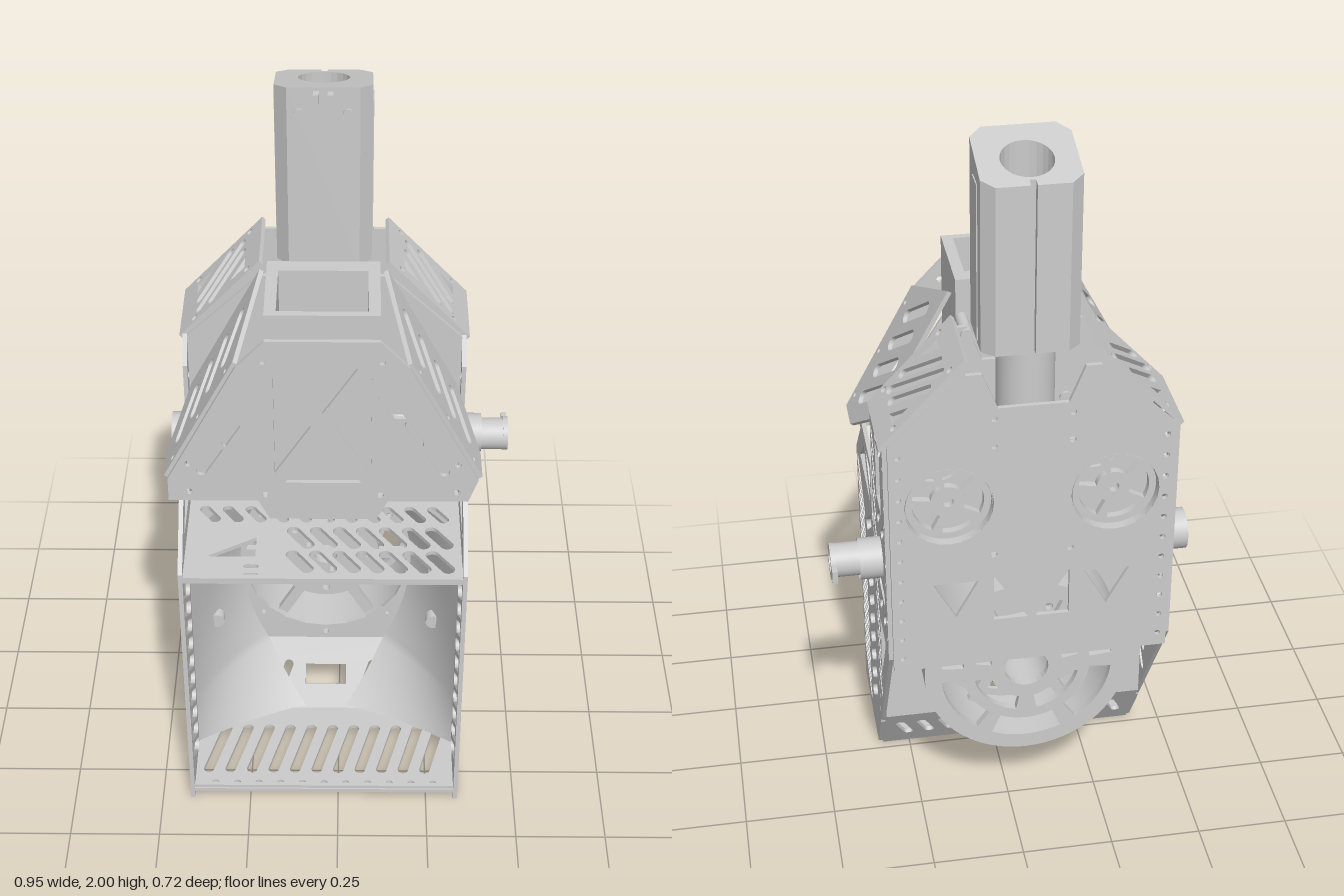
import * as THREE from 'three';
import { ParametricGeometry } from 'three/addons/geometries/ParametricGeometry.js';

const CX = -0.04; // symmetry plane of the body
const HALF = 0.374; // half width of the body
const T = 0.012; // sheet thickness
const V = (x, y, z) => new THREE.Vector3(x, y, z);
const X = V(1, 0, 0), Y = V(0, 1, 0), Z = V(0, 0, 1), BACK = V(0, 0, -1);
const material = new THREE.MeshStandardMaterial({ color: 0xcccccc, side: THREE.DoubleSide });

// Cut-outs
const poly = pts => new THREE.Path(pts.map(p => new THREE.Vector2(p[0], p[1])));
const rect = (x0, y0, x1, y1) => [[x0, y0], [x1, y0], [x1, y1], [x0, y1]];
const circle = (x, y, r) => new THREE.Path().absarc(x, y, r, 0, Math.PI * 2, false);
function slot(x, y, length, degrees, r) {
  const a = THREE.MathUtils.degToRad(degrees), d = length / 2 - r, q = Math.PI / 2;
  const dx = Math.cos(a) * d, dy = Math.sin(a) * d;
  return new THREE.Path().absarc(x + dx, y + dy, r, a - q, a + q, false)
    .absarc(x - dx, y - dy, r, a + q, a + 3 * q, false);
}
function arcs(x, y, r1, r2, n, gap) {
  return Array.from({ length: n }, (_, i) => {
    const a = (i / n) * Math.PI * 2 + gap / 2, b = ((i + 1) / n) * Math.PI * 2 - gap / 2;
    return new THREE.Path().absarc(x, y, r2, a, b, false).absarc(x, y, r1, b, a, true);
  });
}
const boltRing = (x, y, r, n, hole) => Array.from({ length: n }, (_, i) =>
  circle(x + r * Math.cos(i * 2 * Math.PI / n), y + r * Math.sin(i * 2 * Math.PI / n), hole));

export function createModel() {
  const model = new THREE.Group();
  function add(name, geometry) {
    const mesh = new THREE.Mesh(geometry, material);
    mesh.name = name;
    model.add(mesh);
    return mesh;
  }
  // Cut sheet lying in the plane through origin spanned by u and v
  function panel(name, outline, holes, origin, u, v, thickness = T) {
    const shape = Array.isArray(outline)
      ? new THREE.Shape(outline.map(p => new THREE.Vector2(p[0], p[1])))
      : new THREE.Shape(outline.getPoints(32));
    shape.holes = holes;
    const geometry = new THREE.ExtrudeGeometry(shape, { depth: thickness, bevelEnabled: false, curveSegments: 12 });
    geometry.translate(0, 0, -thickness / 2);
    const n = u.clone().cross(v);
    geometry.applyMatrix4(new THREE.Matrix4().makeBasis(u, v, n).setPosition(origin));
    return add(name, geometry);
  }
  function tube(name, r, length, position, axis, open = false) {
    const mesh = add(name, new THREE.CylinderGeometry(r, r, length, 40, 1, open));
    mesh.position.copy(position);
    mesh.quaternion.setFromUnitVectors(Y, axis);
    return mesh;
  }

  // Side walls
  const chevrons = [];
  for (let i = 0; i < 11; i++) {
    const y = 0.1 + i * 0.066;
    chevrons.push(slot(0.26, y, 0.2, 38, 0.019));
    if (i > 0) chevrons.push(slot(0.065, y, 0.17, 142, 0.016));
  }
  const sideOutline = [[0.36, 0], [0.03, 0], [-0.065, 0.15], [-0.065, 0.83], [-0.035, 0.86],
    [-0.035, 1.02], [0.21, 1.02], [0.21, 0.98], [0.36, 0.83]];
  const truss = [poly([[0.25, 0.87], [0.0, 0.87], [0.13, 0.975]]), poly([[-0.015, 0.9], [-0.015, 0.99], [0.08, 0.99]])];
  const rearOutline = [[-0.07, 0.16], [-0.35, 0.6], [-0.35, 1.27], [-0.12, 1.27], [-0.07, 1.2]];
  const rearSlots = [];
  for (let i = 0; i < 13; i++) rearSlots.push(slot(-0.115, 0.34 + i * 0.067, 0.085, 45, 0.013));
  for (const y of [0.69, 0.97, 1.22]) rearSlots.push(slot(-0.21, y, 0.09, 135, 0.012), slot(-0.29, y, 0.09, 135, 0.012));
  rearSlots.push(poly(rect(-0.275, 1.015, -0.18, 1.185)), slot(-0.24, 0.755, 0.12, 0, 0.02),
    poly([[-0.16, 0.41], [-0.16, 0.6], [-0.27, 0.6], [-0.27, 0.58]]), circle(-0.235, 0.86, 0.035));
  for (let i = 0; i < 10; i++) rearSlots.push(circle(-0.338, 0.66 + i * 0.06, 0.006));
  for (const s of [-1, 1]) {
    const at = V(CX + s * HALF, 0, 0);
    panel('frontSideWall', sideOutline, [...chevrons, ...truss], at, Z, Y);
    panel('rearSideWall', rearOutline, rearSlots, at, Z, Y);
  }

  // Floor, sloped rear floor and top deck
  const w = HALF - T / 2;
  const floorSlots = [], slopeSlots = [], deckSlots = [];
  for (let i = 0; i < 11; i++) {
    const x = -0.31 + i * 0.062;
    floorSlots.push(slot(x, -0.2, 0.2, 75, 0.015), circle(x, -0.335, 0.01));
    if (Math.abs(x) > 0.1) slopeSlots.push(slot(x, 0.12, 0.11, 70, 0.013));
    if (i > 3) for (const z of [-0.29, -0.19]) deckSlots.push(slot(x, z, 0.105, 125, 0.018));
    deckSlots.push(slot(x, -0.09, 0.08, 125, 0.015));
  }
  deckSlots.push(poly([[-0.31, -0.27], [-0.18, -0.27], [-0.18, -0.19]]));
  for (const z of [-0.31, -0.345]) deckSlots.push(slot(-0.19, z, 0.04, 0, 0.008));
  slopeSlots.push(poly(rect(-0.06, 0.1, 0.06, 0.16)));
  panel('floor', rect(-w, -0.36, w, -0.03), floorSlots, V(CX, 0.03, 0), X, BACK);
  panel('slopedFloor', rect(-w, 0, w, 0.245), slopeSlots, V(CX, 0, 0.03), X, V(0, 0.6, -0.38).normalize());
  panel('deck', rect(-w, -0.36, w, 0.05), deckSlots, V(CX, 0.815, 0), X, BACK);
  const band = [-1, 1].flatMap(s => [slot(s * 0.22, 0.93, 0.12, 0, 0.022), circle(s * 0.34, 0.95, 0.008)]);
  panel('crossPlate', rect(-w, 0.8, w, 1.05), band, V(CX, 0, -0.045), X, Y);
  for (const y of [0.035, 0.81]) {
    const bar = add('frontEdge', new THREE.BoxGeometry(2 * w, 0.022, 0.012));
    bar.position.set(CX, y, 0.35);
  }

  // Curved guide walls leading to the round opening
  const wheelY = 0.49;
  for (const s of [-1, 1]) {
    add('guideWall', new ParametricGeometry((a, b, p) => {
      const y = 0.035 + b * 0.775, d = y - 0.52;
      const inner = 0.245 - (d < 0 ? 0.79 : 1.2) * d * d;
      const zBack = Math.max(-0.09, 0.04 - 0.63 * y);
      p.set(CX + s * (inner + (w - inner) * a), y, zBack + (0.17 - zBack) * a * (0.7 + 0.3 * a));
    }, 14, 28));
    for (const y of [0.4, 0.575]) tube('guideBolt', 0.022, 0.03, V(CX + s * 0.31, y, 0.04), Z);
  }
  panel('guideBack', rect(-w, 0.2, w, 0.81), [circle(0, wheelY, 0.235), ...boltRing(0, wheelY, 0.258, 8, 0.009)],
    V(CX, 0, -0.1), X, Y);

  // Large wheel with its rear cover
  tube('wheelDrum', 0.28, 0.2, V(CX, wheelY, -0.2), Z, true);
  tube('drumInner', 0.255, 0.19, V(CX, wheelY, -0.205), Z, true);
  panel('drumCover', circle(0, 0, 0.28), [...arcs(0, 0, 0.175, 0.235, 6, 0.2), ...arcs(0, 0, 0.1, 0.145, 4, 0.4),
    circle(0, 0, 0.06)], V(CX, wheelY, -0.295), X, Y, 0.02);
  panel('wheelHub', circle(0, 0, 0.155), [circle(0, 0, 0.034), ...boltRing(0, 0, 0.06, 5, 0.01),
    ...boltRing(0, 0, 0.125, 8, 0.012)], V(CX, wheelY, -0.15), X, Y, 0.02);
  tube('hubSleeve', 0.075, 0.14, V(CX, wheelY, -0.225), Z, true);
  for (let i = 0; i < 6; i++) {
    const a = i * Math.PI / 3, spoke = add('wheelSpoke', new THREE.BoxGeometry(0.11, 0.03, 0.02));
    spoke.position.set(CX + 0.2 * Math.cos(a), wheelY + 0.2 * Math.sin(a), -0.15);
    spoke.rotation.z = a;
  }

  // Rear housing plates with two spoked wheels
  const wheelOff = 0.215, highY = 1.08;
  const plate = bottom => [[-w, bottom], [w, bottom], [w, 1.27], [0.17, 1.46], [0.13, 1.46], [0.09, 1.36],
    [-0.09, 1.36], [-0.13, 1.46], [-0.17, 1.46], [-w, 1.27]];
  const rearHoles = [poly([[-0.1, 0.71], [-0.01, 0.71], [-0.1, 0.85]]), poly([[0.1, 0.71], [0.1, 0.85], [0.01, 0.71]])];
  for (const s of [-1, 1]) {
    rearHoles.push(circle(s * wheelOff, highY, 0.115), poly([[s * 0.14, 0.84], [s * 0.26, 0.84], [s * 0.2, 0.73]]));
    for (let i = 0; i < 11; i++) rearHoles.push(circle(s * 0.345, 0.61 + i * 0.063, 0.008));
    for (const y of [0.92, 1.25, 1.33]) rearHoles.push(circle(s * 0.1, y, 0.009));
    tube('upperWheelRim', 0.112, 0.05, V(CX + s * wheelOff, highY, -0.335), Z, true);
    panel('upperWheel', circle(0, 0, 0.112), [...arcs(0, 0, 0.045, 0.093, 5, 0.3), circle(0, 0, 0.015)],
      V(CX + s * wheelOff, highY, -0.33), X, Y, 0.02);
  }
  panel('rearPlate', plate(0.57), rearHoles, V(CX, 0, -0.357), X, Y);
  panel('housingFront', plate(0.82), [-1, 1].map(s => circle(s * wheelOff, highY, 0.08)), V(CX, 0, -0.115), X, Y);

  // Sloped roof panels and hopper wings, mirrored
  for (const s of [-1, 1]) {
    const roofHoles = [slot(-0.235, 0.16, 0.24, 130, 0.014), slot(-0.203, 0.187, 0.18, 130, 0.014),
      slot(-0.267, 0.133, 0.18, 130, 0.014), poly([[-0.31, 0.06], [-0.31, 0.12], [-0.26, 0.06]]),
      poly([[-0.16, 0.26], [-0.16, 0.2], [-0.21, 0.26]])];
    for (const z of [-0.33, -0.14]) for (const v of [0.06, 0.27]) roofHoles.push(circle(z, v, 0.01));
    panel('roofPanel', rect(-0.35, 0, -0.12, 0.32), roofHoles,
      V(CX + s * 0.385, 1.26, 0), Z, V(-s * 0.225, 0.24, 0).normalize());
    const wingHoles = [0.12, 0.21, 0.3, 0.39].map(v => slot(0.09, v, 0.17, 140, 0.019));
    for (const v of [0.05, 0.2, 0.36]) wingHoles.push(circle(0.2, v, 0.008));
    panel('hopperWing', [[0.12, 0], [0.22, 0], [0.22, 0.404], [-0.04, 0.532], [-0.04, 0.128]], wingHoles,
      V(CX + s * 0.41, 1.05, 0), Z, V(-s * 0.25, 0.47, 0).normalize());
  }

  // Hopper chute and its braced front plate
  panel('chute', rect(-0.145, -0.22, 0.145, 0.035), [poly(rect(-0.115, -0.2, 0.115, -0.01))], V(CX, 1.275, 0), X, BACK, 0.55);
  const brace = [poly([[-0.1, 1.04], [0.1, 1.04], [0, 1.18]]), poly([[-0.09, 1.4], [0.09, 1.4], [0, 1.26]])];
  for (const s of [-1, 1]) {
    brace.push(poly([[s * 0.125, 1.07], [s * 0.125, 1.37], [s * 0.03, 1.22]]));
    brace.push(slot(s * 0.2, 1.24, 0.2, s * -58, 0.014), slot(s * 0.27, 1.15, 0.2, s * -58, 0.014));
    for (const y of [1.01, 1.1]) brace.push(circle(s * 0.35, y, 0.009));
    brace.push(circle(s * 0.15, 1.42, 0.009), circle(s * 0.15, 1.0, 0.009));
  }
  panel('hopperFront', [[-0.14, 0.92], [0.14, 0.92], [0.17, 0.98], [0.38, 0.98], [0.405, 1.05], [0.22, 1.4], [0.145, 1.48],
    [-0.145, 1.48], [-0.22, 1.4], [-0.405, 1.05], [-0.405, 0.98], [-0.17, 0.98]], brace, V(CX, 0, 0.226), X, Y);
  for (const s of [-1, 1]) for (const y of [1.23, 1.44]) tube('hopperStrut', 0.016, 0.1, V(CX + s * 0.13, y, -0.08), Z);

  // Upright barrel with bevelled corners and a sloping top
  const a = 0.124, c = 0.092, front = 0.115, back = 0.335;
  const barrel = panel('barrel', [[-c, front], [c, front], [a, front + 0.035], [a, back - 0.03], [c, back], [0.008, back],
    [0.008, back - 0.02], [-0.008, back - 0.02], [-0.008, back], [-c, back], [-a, back - 0.03], [-a, front + 0.035]],
  [circle(0, 0.24, 0.066)], V(CX, 1.74, 0), X, BACK, 0.5);
  const p = barrel.geometry.attributes.position;
  for (let i = 0; i < p.count; i++) if (p.getY(i) > 1.9) p.setY(i, 2 + 0.27 * (p.getZ(i) + 0.115));
  barrel.geometry.computeVertexNormals();
  tube('barrelNeck', 0.075, 0.2, V(CX, 1.4, -0.24), Y, true);
  for (const s of [-1, 1]) {
    const lip = add('sightLip', new THREE.BoxGeometry(0.014, 0.1, 0.025));
    lip.position.set(CX + s * 0.018, 1.94, -0.105);
    const rib = add('barrelRib', new THREE.BoxGeometry(0.008, 0.42, 0.06));
    rib.position.set(CX + s * 0.123, 1.71, -0.235);
    tube('barrelBolt', 0.013, 0.008, V(CX + s * 0.062, 1.93, -0.114), Z);
  }

  // Side pivots
  tube('rightPivot', 0.055, 0.07, V(-0.44, 0.86, -0.24), X);
  tube('leftPivot', 0.045, 0.14, V(0.4, 0.86, -0.235), X, true);
  tube('leftPivotCollar', 0.055, 0.07, V(0.365, 0.86, -0.24), X, true);
  panel('leftPivotFlange', circle(0, 0, 0.048), [circle(0, 0, 0.03)], V(0.468, 0.86, -0.238), Z, Y, 0.014);
  const lug = add('leftPivotLug', new THREE.BoxGeometry(0.014, 0.035, 0.04));
  lug.position.set(0.468, 0.86, -0.295);
  return model;
}
